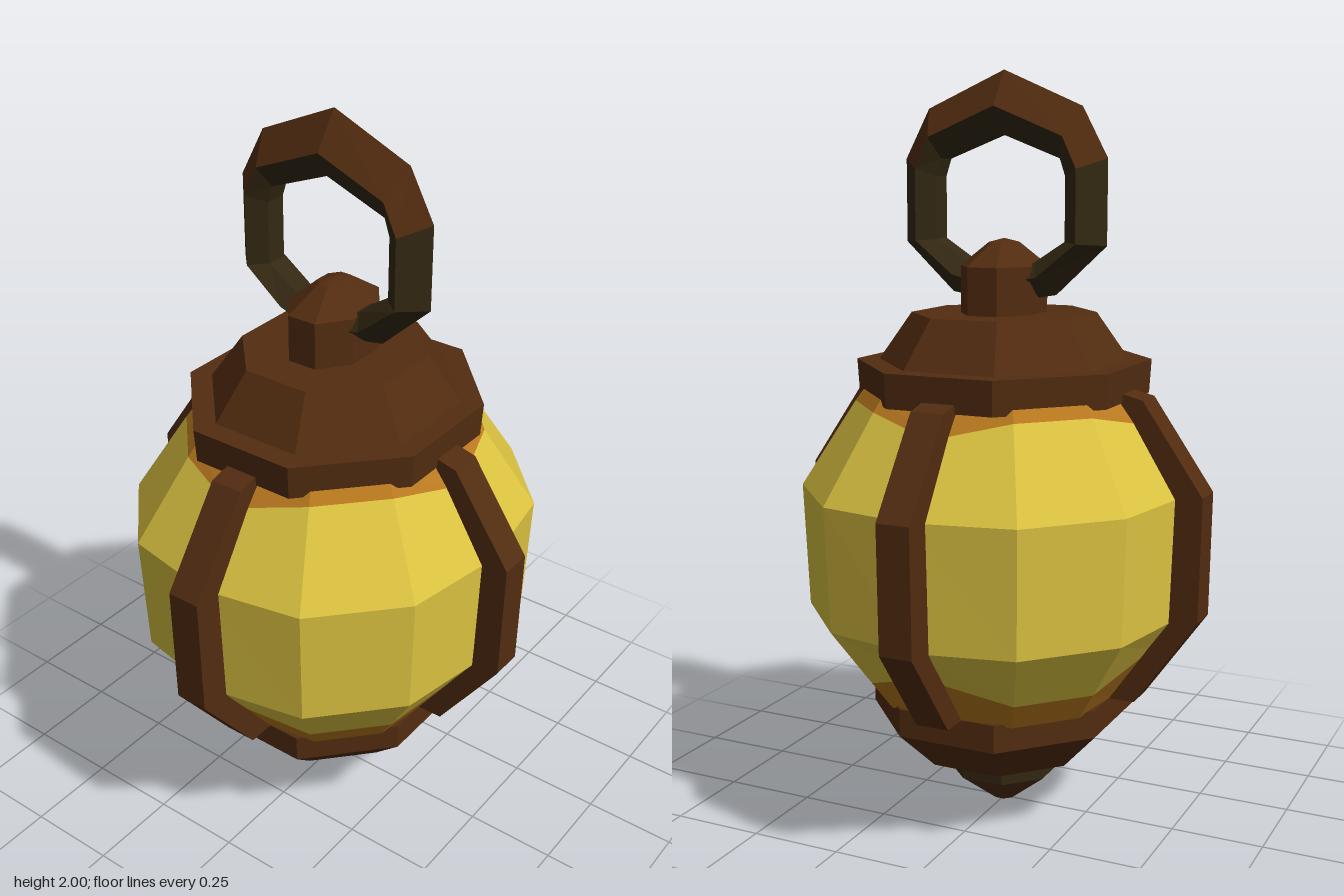
import * as THREE from 'three';

const brown = new THREE.MeshStandardMaterial({ color: 0x522c10 });
brown.name = 'brown metal';
const dark = new THREE.MeshStandardMaterial({ color: 0x332812 });
dark.name = 'dark metal';
const yellow = new THREE.MeshStandardMaterial({ color: 0xdcc341 });
yellow.name = 'yellow glass';
const amber = new THREE.MeshStandardMaterial({ color: 0xb9791f });
amber.name = 'amber glass';

const DEPTH = 1.075; // the body is slightly deeper than wide

function faceted(geometry) {
  const g = geometry.index ? geometry.toNonIndexed() : geometry;
  g.computeVertexNormals();
  return g;
}

function named(name, geometry, material) {
  const mesh = new THREE.Mesh(faceted(geometry), material);
  mesh.name = name;
  return mesh;
}

// Eight-sided turned part with flats on the axes; profile is [half width, y]
function octagon(name, profile, material, depth = DEPTH) {
  const k = 1 / Math.cos(Math.PI / 8);
  const pts = profile.map(([r, y]) => new THREE.Vector2(r * k, y));
  const g = new THREE.LatheGeometry(pts, 8, Math.PI / 8);
  g.scale(1, 1, depth);
  return named(name, g, material);
}

// Twelve-sided glass band; rows are [radius, y, radius at ribs, y at ribs]
function glassBand(name, rows, material) {
  const g = new THREE.LatheGeometry(rows.map(([r, y]) => new THREE.Vector2(r, y)), 12);
  const p = g.attributes.position;
  for (let i = 0; i < p.count; i++) {
    const column = Math.floor(i / rows.length);
    const [r, , ribR, ribY] = rows[i % rows.length];
    if (column % 3 === 0) {
      const s = ribR / r;
      p.setXYZ(i, p.getX(i) * s, ribY, p.getZ(i) * s);
    }
  }
  g.scale(1, 1, DEPTH);
  return named(name, g, material);
}

function makeGlass() {
  const glass = new THREE.Group();
  glass.name = 'glassGlobe';
  const bottom = [0.35, 0.35, 0.33, 0.35];
  const lowBlend = [0.407, 0.43, 0.435, 0.5];
  const highBlend = [0.39, 1.145, 0.40, 1.1];
  const top = [0.365, 1.18, 0.34, 1.18];
  glass.add(
    glassBand('lowerGlow', [bottom, lowBlend], amber),
    glassBand('globe', [lowBlend, [0.52, 0.59, 0.5, 0.59], [0.533, 0.92, 0.51, 0.92], highBlend], yellow),
    glassBand('upperGlow', [highBlend, top], amber),
  );
  return glass;
}

// Four bent straps around the globe
function makeRibs() {
  const ribs = new THREE.Group();
  ribs.name = 'ribs';
  const outline = [[0.33, 1.19], [0.41, 1.17], [0.575, 0.93], [0.57, 0.6], [0.4, 0.36],
    [0.32, 0.36], [0.485, 0.61], [0.49, 0.91], [0.33, 1.13]];
  const shape = new THREE.Shape(outline.map(([x, y]) => new THREE.Vector2(x, y)));
  for (let i = 0; i < 4; i++) {
    const g = new THREE.ExtrudeGeometry(shape, { depth: 0.09, bevelEnabled: false });
    g.translate(0, 0, -0.045);
    if (i % 2) g.scale(DEPTH, 1, 1);
    g.rotateY(i * Math.PI / 2);
    ribs.add(named('rib', g, brown));
  }
  return ribs;
}

// Carrying ring: pentagonal section swept along [outer x, y, inner x, y]
function makeRing() {
  const half = [[0, 2, 0, 1.84], [0.22, 1.905, 0.17, 1.775], [0.29, 1.775, 0.185, 1.73],
    [0.29, 1.555, 0.185, 1.565], [0.15, 1.425, 0.1, 1.51], [0, 1.4, 0, 1.48]];
  const mirrored = half.slice(1, -1).reverse().map(([a, b, c, d]) => [-a, b, -c, d]);
  const path = [...half, ...mirrored];
  const sections = path.map(([ox, oy, ix, iy]) => {
    const at = (t, z) => [ox + (ix - ox) * t, oy + (iy - oy) * t, z];
    return [at(0, 0), at(0.58, 0.067), at(1, 0.03), at(1, -0.03), at(0.58, -0.067)];
  });
  const top = [], rest = [];
  const n = sections.length;
  for (let i = 0; i < n; i++) {
    const s = sections[i], e = sections[(i + 1) % n];
    const upper = i < 2 || i >= n - 2;
    for (let k = 0; k < 5; k++) {
      const m = (k + 1) % 5;
      const target = upper && (k === 0 || k === 4) ? top : rest;
      target.push(...s[k], ...s[m], ...e[m], ...s[k], ...e[m], ...e[k]);
    }
  }
  const ring = new THREE.Group();
  ring.name = 'carryingRing';
  for (const [name, data, material] of [['ringCrown', top, brown], ['ringBody', rest, dark]]) {
    const g = new THREE.BufferGeometry();
    g.setAttribute('position', new THREE.Float32BufferAttribute(data, 3));
    ring.add(named(name, g, material));
  }
  return ring;
}

export function createModel() {
  const lantern = new THREE.Group();
  lantern.name = 'lantern';
  lantern.add(
    makeGlass(),
    makeRibs(),
    makeRing(),
    // Roof with brim, sloped sides and flat top
    octagon('roof', [[0, 1.17], [0.31, 1.17], [0.355, 1.16], [0.36, 1.25], [0.305, 1.25],
      [0.225, 1.375], [0, 1.375]], brown),
    // Stud that holds the ring
    octagon('ringStud', [[0.1, 1.37], [0.1, 1.5], [0.035, 1.56], [0, 1.57]], brown, 1.36),
    // Bowl under the globe
    octagon('baseBowl', [[0, 0.17], [0.225, 0.17], [0.33, 0.285], [0.33, 0.36], [0, 0.36]], brown),
    // Bottom knob and its pointed tip
    octagon('knob', [[0.143, 0.1], [0.143, 0.18]], dark, 1),
    octagon('tip', [[0, 0], [0.03, 0.005], [0.143, 0.1]], brown, 1),
  );
  return lantern;
}
